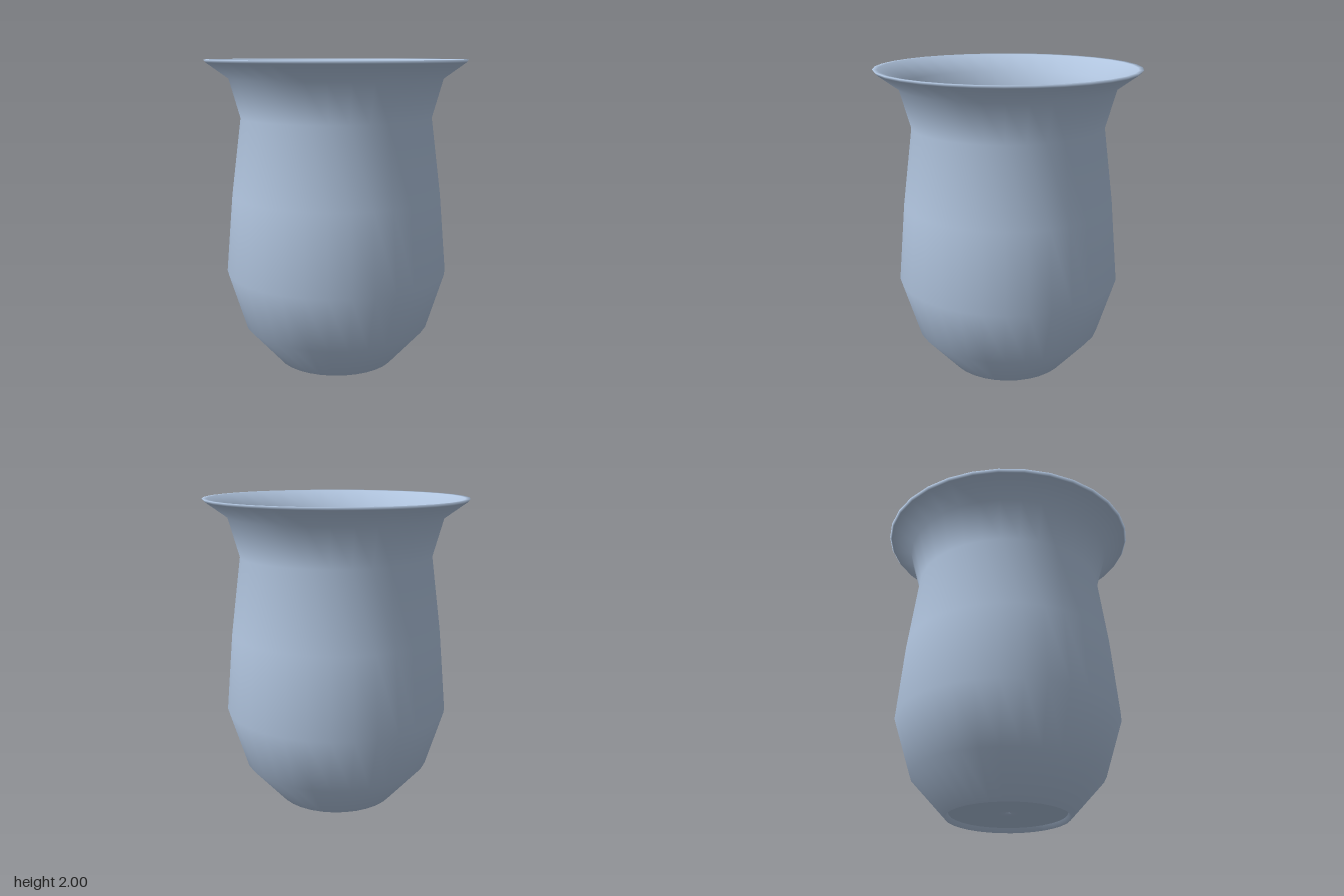
import * as THREE from 'three';

const SEGMENTS = 32;

export function createModel() {
  const group = new THREE.Group();
  group.name = 'pot';
  const glaze = new THREE.MeshStandardMaterial({ color: 0xb0c4de });
  glaze.name = 'pale blue glaze';

  // Revolve a profile of [radius, height] pairs around y.
  const turn = (name, profile) => {
    const points = profile.map(([r, y]) => new THREE.Vector2(r, y));
    const mesh = new THREE.Mesh(new THREE.LatheGeometry(points, SEGMENTS), glaze);
    mesh.name = name;
    group.add(mesh);
  };

  // Recessed underside around the drain hole.
  turn('underside', [[0.015, 0.05], [0.02, 0.032], [0.06, 0.03], [0.37, 0.03]]);

  // Thin wall: foot, belly, neck, flared lip, then back down the inside to the drain hole.
  turn('body', [
    [0.37, 0.03], [0.39, 0], [0.615, 0.25], [0.73, 0.62], [0.685, 1.13],
    [0.62, 1.63], [0.69, 1.88], [0.832, 1.982], [0.845, 2],
    [0.815, 1.998], [0.665, 1.895], [0.595, 1.63], [0.66, 1.13], [0.705, 0.62],
    [0.59, 0.265], [0.38, 0.06], [0.06, 0.06], [0.02, 0.058], [0.015, 0.05],
  ]);

  return group;
}
